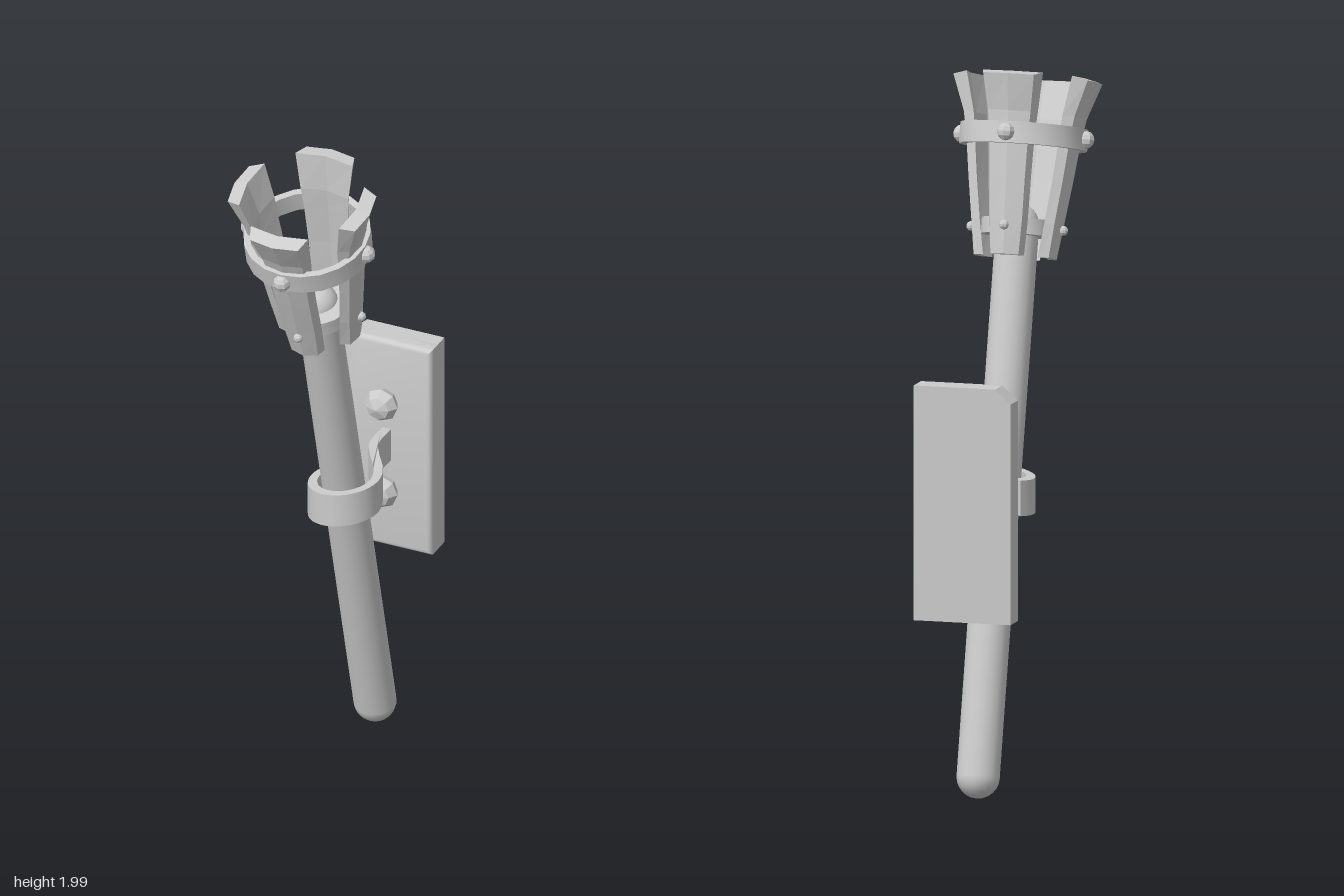
import * as THREE from 'three';
import { toCreasedNormals } from 'three/addons/utils/BufferGeometryUtils.js';

const grey = new THREE.MeshStandardMaterial({ color: 0xcccccc });
const flat = new THREE.MeshStandardMaterial({ color: 0xcccccc, flatShading: true });

function add(parent, name, geometry, material = grey) {
  const mesh = new THREE.Mesh(geometry, material);
  mesh.name = name;
  parent.add(mesh);
  return mesh;
}

const v2 = (x, y) => new THREE.Vector2(x, y);

// Closed band with a rectangular section
function bandGeometry(inner, outer, y0, y1, sides) {
  const profile = [v2(inner, y0), v2(outer, y0), v2(outer, y1), v2(inner, y1), v2(inner, y0)];
  return toCreasedNormals(new THREE.LatheGeometry(profile, sides), 0.7);
}

// Flared prong: six-sided loops [height, outer radius, half width, thickness], ridged down the middle
function prongGeometry() {
  const rows = [
    [1.445, 0.12, 0.048, 0.027],
    [1.54, 0.132, 0.056, 0.025],
    [1.66, 0.148, 0.061, 0.025],
    [1.78, 0.162, 0.067, 0.026],
    [1.84, 0.172, 0.073, 0.03],
    [1.94, 0.206, 0.087, 0.04],
  ];
  const positions = [];
  rows.forEach(([y, r, w, t], i) => {
    const yIn = i === rows.length - 1 ? y + 0.01 : y;
    const o = w * 0.84;
    positions.push(
      -o, y, r - 0.012, 0, y, r, o, y, r - 0.012,
      w, yIn, r - t - 0.014, 0, yIn, r - t, -w, yIn, r - t - 0.014,
    );
  });
  const index = [];
  for (let i = 0; i < rows.length - 1; i++) {
    for (let j = 0; j < 6; j++) {
      const a = i * 6 + j, b = i * 6 + (j + 1) % 6;
      index.push(a, b, b + 6, a, b + 6, a + 6);
    }
  }
  const top = (rows.length - 1) * 6;
  for (const [a, b, c, d] of [[0, 1, 4, 5], [1, 2, 3, 4]]) {
    index.push(top + a, top + b, top + c, top + a, top + c, top + d);
    index.push(a, c, b, a, d, c);
  }
  const geometry = new THREE.BufferGeometry();
  geometry.setAttribute('position', new THREE.Float32BufferAttribute(positions, 3));
  geometry.setIndex(index);
  geometry.computeVertexNormals();
  return geometry;
}

// Strap: a path seen from above, thickened and raised, dipping toward its free end
function strapGeometry() {
  const path = [[0.005, -0.335], [0.005, -0.24], [0.032, -0.185], [0.073, -0.12]];
  for (let i = 0; i <= 8; i++) {
    const a = -0.1 + i * 0.49;
    path.push([0.089 * Math.cos(a), -0.056 + 0.089 * Math.sin(a)]);
  }
  const curve = new THREE.CatmullRomCurve3(path.map(([x, z]) => new THREE.Vector3(x, -z, 0)));
  const left = [], right = [];
  for (let i = 0; i <= 40; i++) {
    const p = curve.getPointAt(i / 40), t = curve.getTangentAt(i / 40);
    left.push(v2(p.x - t.y * 0.013, p.y + t.x * 0.013));
    right.push(v2(p.x + t.y * 0.013, p.y - t.x * 0.013));
  }
  const shape = new THREE.Shape([...left, ...right.reverse()]);
  const geometry = new THREE.ExtrudeGeometry(shape, { depth: 0.1, bevelEnabled: false });
  geometry.rotateX(-Math.PI / 2).translate(0, 0.8, 0);
  const p = geometry.attributes.position;
  for (let i = 0; i < p.count; i++) {
    if (p.getZ(i) > -0.135) p.setY(i, p.getY(i) + Math.min(0, (p.getX(i) - 0.1) * 0.15));
  }
  return toCreasedNormals(geometry, 0.6);
}

// Wall plate outline with one clipped upper corner
function plateShape(inset) {
  const w = 0.14 - inset, y0 = 0.52 + inset, y1 = 1.18 - inset;
  return new THREE.Shape([v2(-w, y0), v2(w, y0), v2(w, y1), v2(-w + 0.045, y1), v2(-w, y1 - 0.04)]);
}

export function createModel() {
  const model = new THREE.Group();
  model.name = 'wallTorch';

  // Wall mount
  const mount = new THREE.Group();
  mount.name = 'wallMount';
  model.add(mount);
  const plate = new THREE.ExtrudeGeometry(plateShape(0), { depth: 0.07, bevelEnabled: false });
  add(mount, 'wallPlate', plate.translate(0, 0, -0.412));
  const face = new THREE.ExtrudeGeometry(plateShape(0.015), {
    depth: 0.03, bevelThickness: 0.015, bevelSize: 0.015, bevelSegments: 3,
  });
  add(mount, 'plateFace', toCreasedNormals(face.translate(0, 0, -0.37), 0.6));
  const boltProfile = [v2(0.036, 0), v2(0.05, 0.03), v2(0.034, 0.055), v2(0, 0.068)];
  for (const y of [0.71, 0.99]) {
    const bolt = add(mount, 'plateBolt', new THREE.LatheGeometry(boltProfile, 8), flat);
    bolt.rotation.x = Math.PI / 2;
    bolt.position.set(0, y, -0.327);
  }
  add(mount, 'holdingStrap', strapGeometry());

  // Torch, leaning forward out of the strap
  const torch = new THREE.Group();
  torch.name = 'torch';
  torch.position.set(0, 0.06, -0.257);
  torch.rotation.x = 0.2513;
  model.add(torch);
  const handle = add(torch, 'handle', new THREE.CapsuleGeometry(0.06, 1.536, 6, 20));
  handle.position.y = 0.768;
  add(torch, 'lowerBand', bandGeometry(0.058, 0.1, 1.505, 1.55, 20));
  add(torch, 'upperBand', bandGeometry(0.158, 0.178, 1.75, 1.81, 20));

  // Four prongs with their rivets
  const prong = prongGeometry();
  for (let i = 0; i < 4; i++) {
    const side = new THREE.Group();
    side.name = 'prongAssembly';
    side.rotation.y = i * Math.PI / 2;
    torch.add(side);
    add(side, 'prong', prong, flat);
    add(side, 'upperRivet', new THREE.SphereGeometry(0.025, 8, 6), flat).position.set(0, 1.78, 0.179);
    add(side, 'lowerRivet', new THREE.SphereGeometry(0.014, 8, 6), flat).position.set(0, 1.525, 0.133);
  }
  return model;
}
